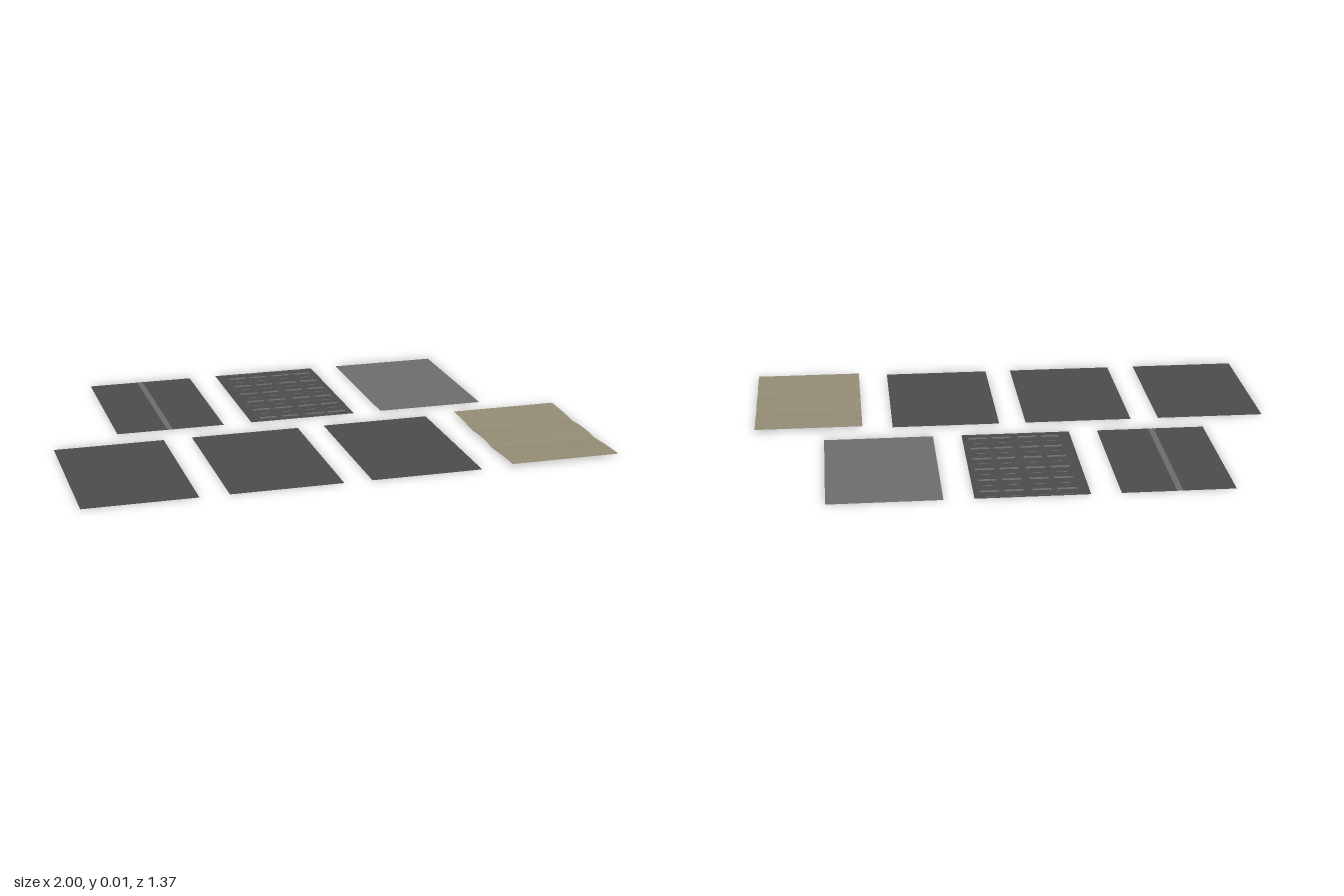
import * as THREE from 'three';

const W = 0.417, D = 0.627;

const makeMaterial = (name, color) => {
  const m = new THREE.MeshStandardMaterial({ color, side: THREE.DoubleSide });
  m.name = name;
  return m;
};

// Flat sheet lying in the ground plane
function sheet(name, material, w, d, x, y, z) {
  const geometry = new THREE.PlaneGeometry(w, d).rotateX(-Math.PI / 2);
  const mesh = new THREE.Mesh(geometry, material);
  mesh.name = name;
  mesh.position.set(x, y, z);
  return mesh;
}

// One curved band of the rippled sheet; height is a function of t = 0..1 along z
function curvedBand(name, material, z0, z1, height) {
  const depth = z1 - z0;
  const geometry = new THREE.PlaneGeometry(W, depth, 1, 16).rotateX(-Math.PI / 2);
  const p = geometry.attributes.position;
  for (let i = 0; i < p.count; i++) p.setY(i, height(p.getZ(i) / depth + 0.5));
  geometry.computeVertexNormals();
  const mesh = new THREE.Mesh(geometry, material);
  mesh.name = name;
  mesh.position.z = (z0 + z1) / 2;
  return mesh;
}

export function createModel() {
  const model = new THREE.Group();
  model.name = 'panelSet';
  const charcoal = makeMaterial('charcoal', 0x4b4b4b);
  const grey = makeMaterial('grey', 0x6c6c6e);
  const sand = makeMaterial('sand', 0x928b75);

  // Back row: striped, dashed and plain grey panels
  const backZ = -0.372;
  const striped = new THREE.Group();
  striped.name = 'stripedPanel';
  striped.position.set(-0.53, 0, backZ);
  striped.add(sheet('stripedBase', charcoal, W, D, 0, 0, 0));
  striped.add(sheet('centreStripe', grey, 0.022, D, -0.003, 0.0006, 0));
  model.add(striped);

  const dashed = new THREE.Group();
  dashed.name = 'dashedPanel';
  dashed.position.set(-0.003, 0, backZ);
  dashed.add(sheet('dashedBase', charcoal, W, D, 0, 0, 0));
  for (let row = 0; row < 12; row++) {
    const wide = row % 2 === 0; // long and short dashes alternate
    for (const x of [-0.13, -0.04, 0.06, 0.15]) {
      dashed.add(sheet('dash', grey, wide ? 0.07 : 0.035, wide ? 0.016 : 0.006,
        x, 0.0006, 0.272 - row * 0.0523));
    }
  }
  model.add(dashed);
  model.add(sheet('greyPanel', grey, W, D, 0.524, 0, backZ));

  // Front row: three plain panels and the rippled one
  const frontZ = 0.368;
  [-0.79, -0.264, 0.257].forEach((x) => model.add(sheet('plainPanel', charcoal, W, D, x, 0, frontZ)));

  const rippled = new THREE.Group();
  rippled.name = 'rippledPanel';
  rippled.position.set(0.7915, 0, frontZ);
  const a = D / 2, b = 0.103;
  rippled.add(
    curvedBand('backSlope', sand, -a, -b, (t) => 0.009 * (1 - t * t)),
    curvedBand('middleArch', sand, -b, b, (t) => 0.024 * t * (1 - t)),
    curvedBand('frontSlope', sand, b, a, (t) => 0.009 * (1 - (1 - t) ** 2)),
  );
  model.add(rippled);
  return model;
}
